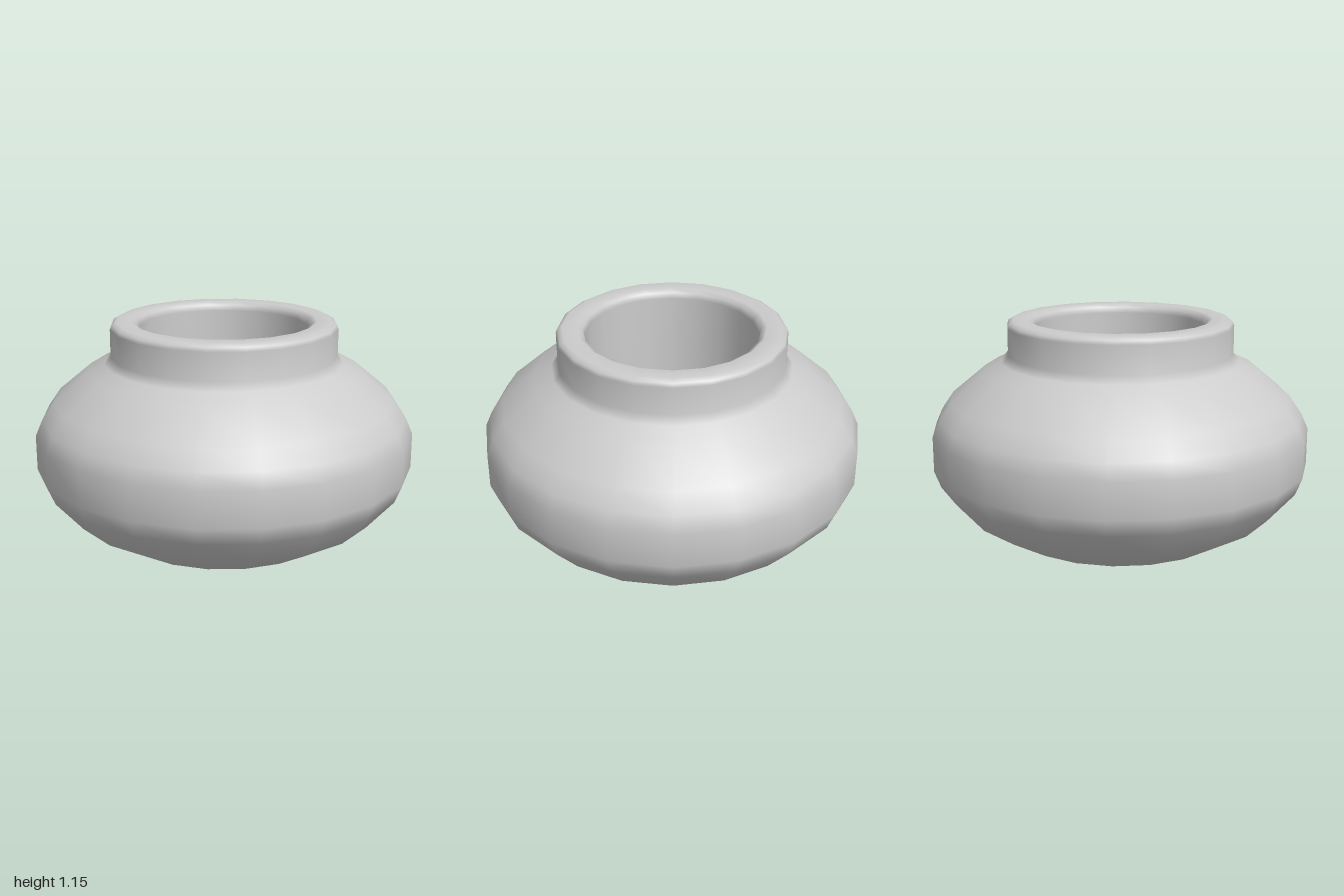
import * as THREE from 'three';

const SIDES = 20;

// Turns a [radius, height] profile into a smooth open surface of revolution.
function turned(name, profile, material) {
  const points = profile.map(([r, y]) => new THREE.Vector2(r, y));
  const mesh = new THREE.Mesh(new THREE.LatheGeometry(points, SIDES), material);
  mesh.name = name;
  return mesh;
}

export function createModel() {
  const group = new THREE.Group();
  group.name = 'pot';
  const clay = new THREE.MeshStandardMaterial({ color: 0xcccccc, side: THREE.DoubleSide });

  // One continuous thin shell: open base, round belly, neck,
  // rolled lip, then the inner sleeve hanging down into the belly.
  group.add(turned('potShell', [
    // belly
    [0.595, 0], [0.82, 0.13], [0.965, 0.295], [1, 0.385],
    [1, 0.57], [0.965, 0.65], [0.9, 0.745], [0.72, 0.895],
    // shoulder and neck
    [0.63, 0.935], [0.597, 0.975], [0.597, 1.12],
    // lip
    [0.59, 1.14], [0.565, 1.155], [0.485, 1.155], [0.458, 1.14],
    // inner sleeve
    [0.45, 1.11], [0.45, 0.49],
  ], clay));

  return group;
}
